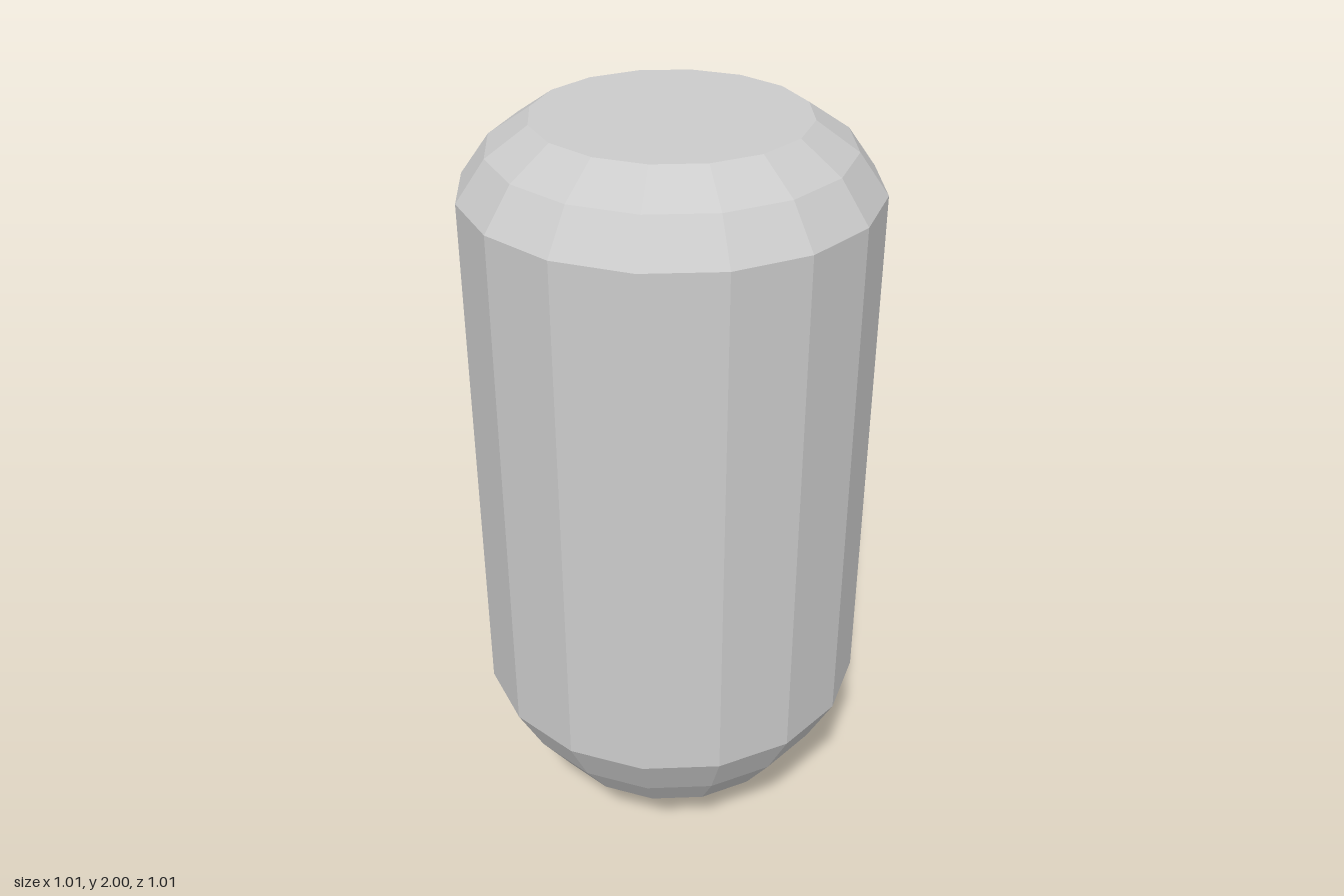
import * as THREE from 'three';

const SIDES = 16;

export function createModel() {
  const group = new THREE.Group();
  group.name = 'capsule';
  const material = new THREE.MeshStandardMaterial({ color: 0xcccccc, flatShading: true });

  // Each part is a faceted ring profile of [radius, height], listed from bottom to top
  const addLathe = (name, profile) => {
    const points = profile.map(([r, y]) => new THREE.Vector2(r, y));
    const mesh = new THREE.Mesh(new THREE.LatheGeometry(points, SIDES), material);
    mesh.name = name;
    group.add(mesh);
  };

  // Pointed, rounded lower end
  addLathe('pointedBase', [[0, 0], [0.35, 0.2], [0.435, 0.32], [0.505, 0.455]]);
  // Straight wall
  addLathe('body', [[0.505, 0.455], [0.505, 1.83]]);
  // Rounded shoulder
  addLathe('shoulder', [[0.505, 1.83], [0.433, 1.93], [0.33, 2]]);
  // Flat top
  addLathe('topCap', [[0.33, 2], [0, 2]]);

  return group;
}
